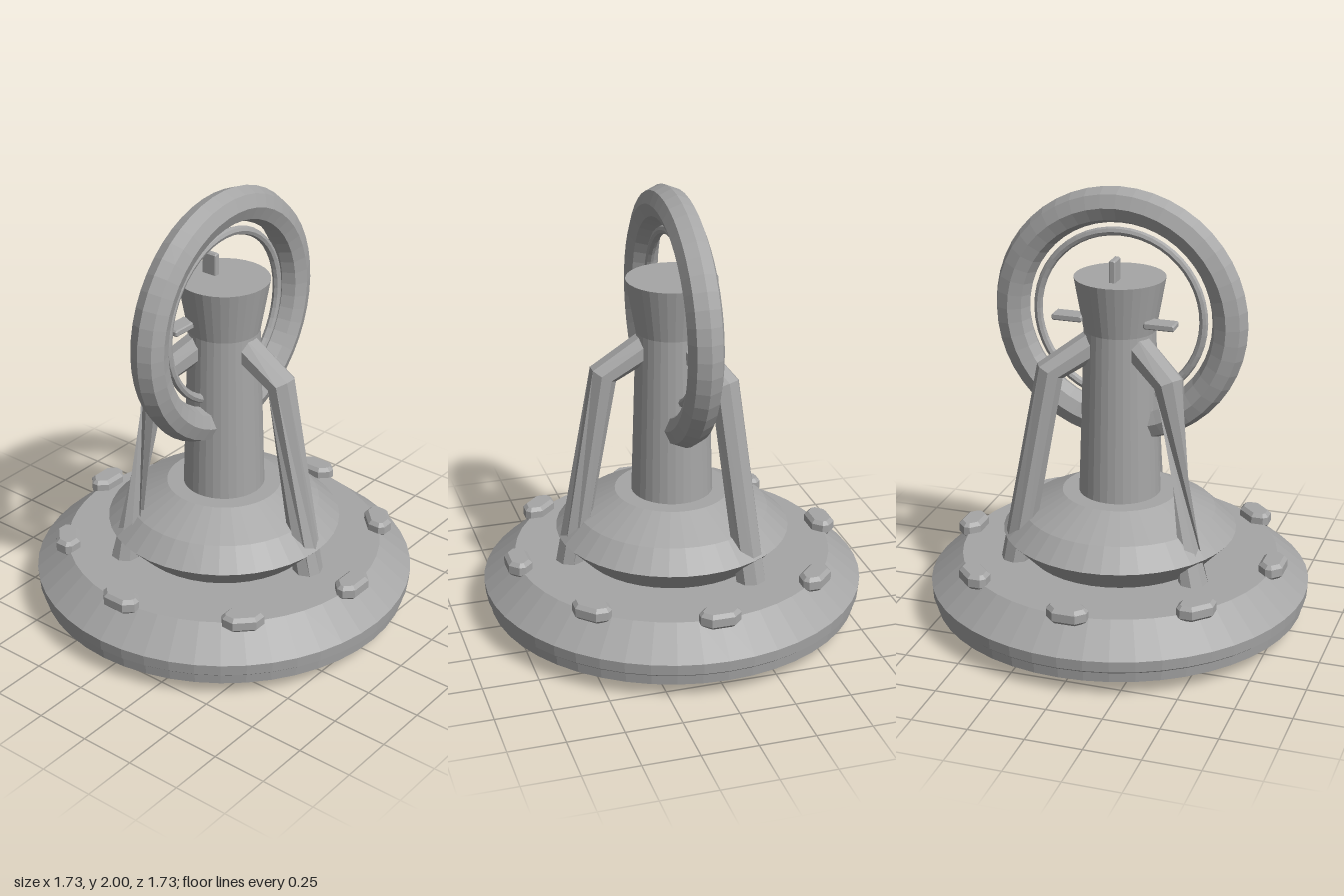
import * as THREE from 'three';

const grey = new THREE.MeshStandardMaterial({ color: 0xa6a6a6 });
grey.name = 'stone grey';
grey.flatShading = true;

function part(name, geometry, parent) {
  const mesh = new THREE.Mesh(geometry, grey);
  mesh.name = name;
  parent.add(mesh);
  return mesh;
}

const lathe = (points, sides) =>
  new THREE.LatheGeometry(points.map(([r, y]) => new THREE.Vector2(r, y)), sides);

// Bevelled block with cut corners, lying in the xy plane and centred on z
function bevelledBlock(w, h, d, cut, bevel) {
  const x = w / 2 - bevel, y = h / 2 - bevel;
  const shape = new THREE.Shape([
    [x - cut, -y], [x, -y + cut], [x, y - cut], [x - cut, y],
    [-x + cut, y], [-x, y - cut], [-x, -y + cut], [-x + cut, -y],
  ].map(([a, b]) => new THREE.Vector2(a, b)));
  return new THREE.ExtrudeGeometry(shape, {
    depth: d - 2 * bevel, bevelEnabled: true, bevelSize: bevel,
    bevelThickness: bevel, bevelSegments: 1,
  }).translate(0, 0, bevel - d / 2);
}

// Eight-sided bent strut running outwards along +z; the lower span is twisted
function strutGeometry(twist) {
  const sections = [
    { z: 0.10, y: 1.31, vz: 0.03, vy: 0.055, turn: 0 },
    { z: 0.315, y: 1.185, vz: 0.052, vy: 0.03, turn: 0 },
    { z: 0.485, y: 0.28, vz: 0.06, vy: 0.01, turn: twist },
  ];
  const sides = 8, pos = [], index = [];
  for (const s of sections) {
    for (let j = 0; j < sides; j++) {
      const a = ((j + 0.5) / sides) * Math.PI * 2 + s.turn;
      const c = Math.cos(a) * 1.08, k = Math.sin(a) * 1.08;
      pos.push(c * 0.066, s.y + k * s.vy, s.z + k * s.vz);
    }
  }
  for (let i = 0; i < sections.length - 1; i++) {
    for (let j = 0; j < sides; j++) {
      const a = i * sides + j, b = i * sides + ((j + 1) % sides);
      index.push(a, b, b + sides, a, b + sides, a + sides);
    }
  }
  const g = new THREE.BufferGeometry();
  g.setAttribute('position', new THREE.Float32BufferAttribute(pos, 3));
  g.setIndex(index);
  const flat = g.toNonIndexed();
  flat.computeVertexNormals();
  return flat;
}

export function createModel() {
  const model = new THREE.Group();
  model.name = 'ringMonument';

  // Round plinth, raised collar and flared column
  part('base', lathe([[0, 0], [0.70, 0], [0.845, 0.07], [0.85, 0.115], [0.862, 0.125],
    [0.866, 0.175], [0.72, 0.30], [0, 0.30]], 48), model);
  part('collar', lathe([[0.41, 0.29], [0.53, 0.415], [0.435, 0.505], [0.26, 0.595], [0, 0.595]], 40), model);
  part('column', lathe([[0.185, 0.58], [0.16, 1.36], [0.203, 1.6], [0, 1.6]], 32), model);

  // Pads around the plinth
  const padGeometry = bevelledBlock(0.182, 0.108, 0.07, 0.03, 0.016).rotateX(-Math.PI / 2);
  for (let i = 0; i < 8; i++) {
    const a = (i * Math.PI) / 4;
    const pad = part('pad', padGeometry, model);
    pad.position.set(Math.sin(a) * 0.722, 0.313, Math.cos(a) * 0.722);
    pad.rotation.y = a;
  }

  // Three struts
  [-1.2, -0.8, -2.7].forEach((twist, i) => {
    const strut = part('strut', strutGeometry(twist), model);
    strut.rotation.y = (i * Math.PI * 2) / 3;
  });

  // Large ring with a slim ring inside it
  const rings = new THREE.Group();
  rings.name = 'rings';
  rings.position.y = 1.42;
  model.add(rings);
  part('outerRing', new THREE.TorusGeometry(0.5, 0.08, 8, 48), rings);
  part('innerRing', new THREE.TorusGeometry(0.381, 0.02, 8, 48), rings);

  // Small pegs pointing out at the back of the rings
  const pegGeometry = bevelledBlock(0.14, 0.03, 0.076, 0.004, 0.005).translate(0.21, 0, -0.075);
  for (let i = 0; i < 3; i++) {
    part('peg', pegGeometry, rings).rotation.z = (i * Math.PI) / 2;
  }
  return model;
}
